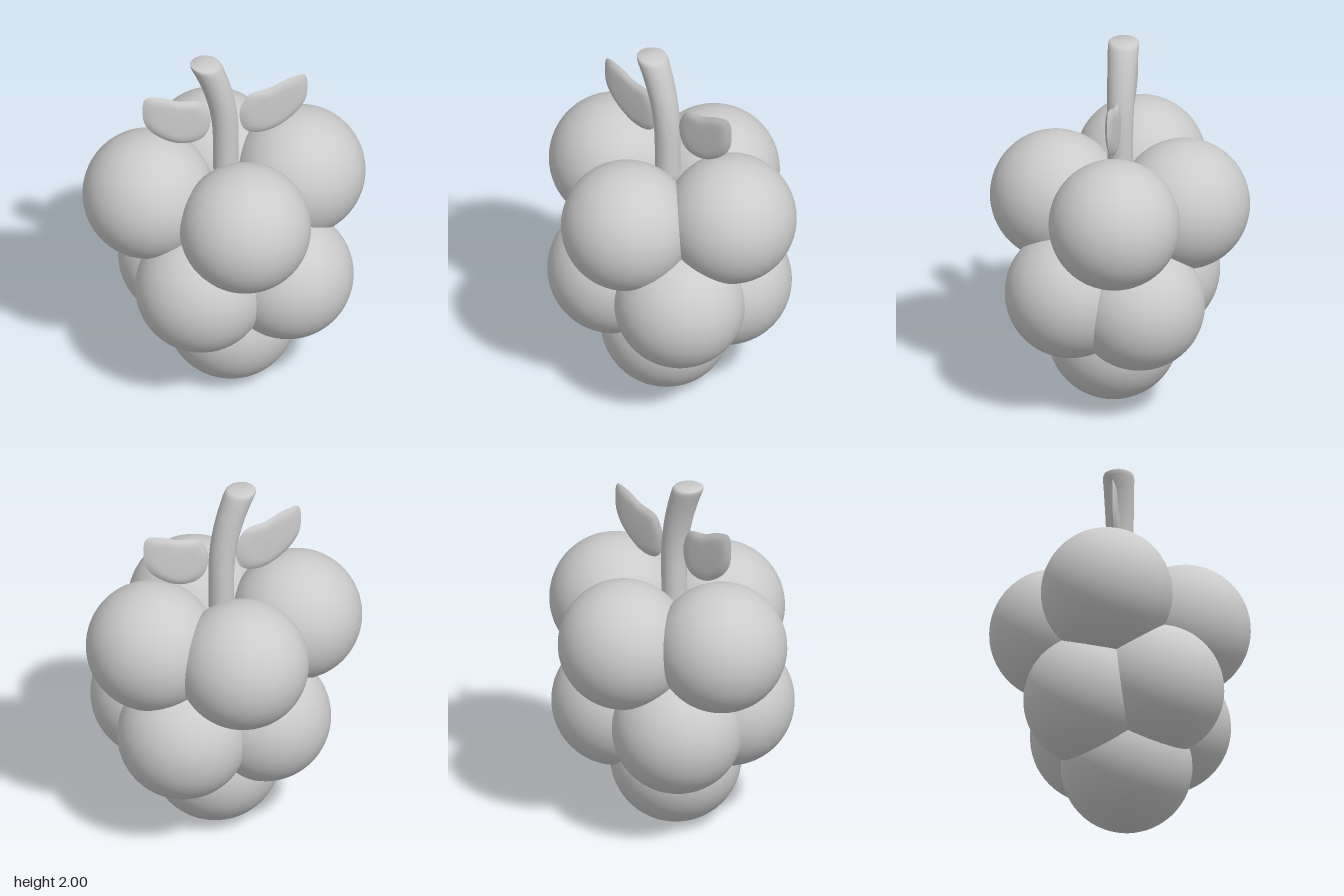
import * as THREE from 'three';
import { mergeVertices, toCreasedNormals } from 'three/addons/utils/BufferGeometryUtils.js';

const material = new THREE.MeshStandardMaterial({ color: 0xcccccc });

// Round berries, stacked in three tiers: [name, x, y, z]
const BERRY_RADIUS = 0.349;
const BERRIES = [
  ['topBerryFront', 0.015, 1.137, 0.343],
  ['topBerryBack', 0.015, 1.137, -0.347],
  ['topBerryRight', -0.416, 1.17, -0.04],
  ['topBerryLeft', 0.412, 1.17, -0.04],
  ['middleBerryFrontRight', -0.195, 0.695, 0.218],
  ['middleBerryFrontLeft', 0.28, 0.695, 0.218],
  ['middleBerryBackRight', -0.193, 0.65, -0.15],
  ['middleBerryBackLeft', 0.278, 0.65, -0.15],
  ['bottomBerry', 0.018, 0.35, 0.033],
];

// Half outline rule for a leaf: points around the rim of the left leaf, counter-clockwise
const LEAF_RIM = [
  [0.42, 1.825], [0.34, 1.81], [0.245, 1.77], [0.13, 1.745], [0.09, 1.69],
  [0.073, 1.625], [0.093, 1.535], [0.13, 1.5], [0.195, 1.487], [0.275, 1.505],
  [0.38, 1.577], [0.432, 1.65], [0.446, 1.72], [0.438, 1.81],
];

// Stem: turned profile with a softened top edge, bent sideways towards the tip
function stemGeometry() {
  const profile = [[0, 1.3], [0.068, 1.3]];
  for (let i = 1; i <= 16; i++) {
    const t = i / 16;
    profile.push([0.067 + 0.016 * t * t, 1.3 + 0.67 * t]);
  }
  profile.push([0.082, 1.985], [0.078, 1.995], [0.07, 2], [0, 2]);
  const geo = new THREE.LatheGeometry(profile.map(([r, y]) => new THREE.Vector2(r, y)), 40);
  const pos = geo.attributes.position;
  for (let i = 0; i < pos.count; i++) {
    const lift = Math.max(0, (pos.getY(i) - 1.5) / 0.5);
    pos.setX(i, pos.getX(i) - 0.003 - 0.116 * lift ** 2);
  }
  geo.deleteAttribute('normal');
  geo.deleteAttribute('uv');
  return toCreasedNormals(mergeVertices(geo), 0.8);
}

// Leaf: thin lens whose rings follow the rim outline, shrunk towards its middle
function leafGeometry(side) {
  const shift = side > 0 ? 0 : -0.01;
  const rim = new THREE.CatmullRomCurve3(
    LEAF_RIM.map(([x, y]) => new THREE.Vector3(side * x + shift, y, 0)), true);
  const centre = new THREE.Vector3(side * 0.26 + shift, 1.645, -0.007);
  const half = [[0, 0.019], [0.6, 0.02], [0.76, 0.018], [0.88, 0.012], [1, 0]];
  const profile = [
    ...half.slice(0, -1).map(([s, z]) => new THREE.Vector2(s, -z)),
    ...half.slice().reverse().map(([s, z]) => new THREE.Vector2(s, z)),
  ];
  const segments = 56;
  const geo = new THREE.LatheGeometry(profile, segments);
  const pos = geo.attributes.position;
  for (let i = 0; i < pos.count; i++) {
    const ring = profile[i % profile.length];
    const t = (Math.floor(i / profile.length) % segments) / segments;
    const p = rim.getPoint(side > 0 ? t : (1 - t) % 1);
    pos.setXYZ(i,
      centre.x + (p.x - centre.x) * ring.x,
      centre.y + (p.y - centre.y) * ring.x,
      centre.z + ring.y);
  }
  geo.deleteAttribute('normal');
  geo.deleteAttribute('uv');
  return toCreasedNormals(mergeVertices(geo), 0.8);
}

export function createModel() {
  const model = new THREE.Group();
  model.name = 'berryCluster';

  const add = (name, geometry) => {
    const mesh = new THREE.Mesh(geometry, material);
    mesh.name = name;
    model.add(mesh);
    return mesh;
  };

  // Berries
  const berry = new THREE.SphereGeometry(BERRY_RADIUS, 56, 36);
  for (const [name, x, y, z] of BERRIES) add(name, berry).position.set(x, y, z);

  // Stem and the pair of leaves
  add('stem', stemGeometry());
  add('leftLeaf', leafGeometry(1));
  add('rightLeaf', leafGeometry(-1));

  return model;
}
